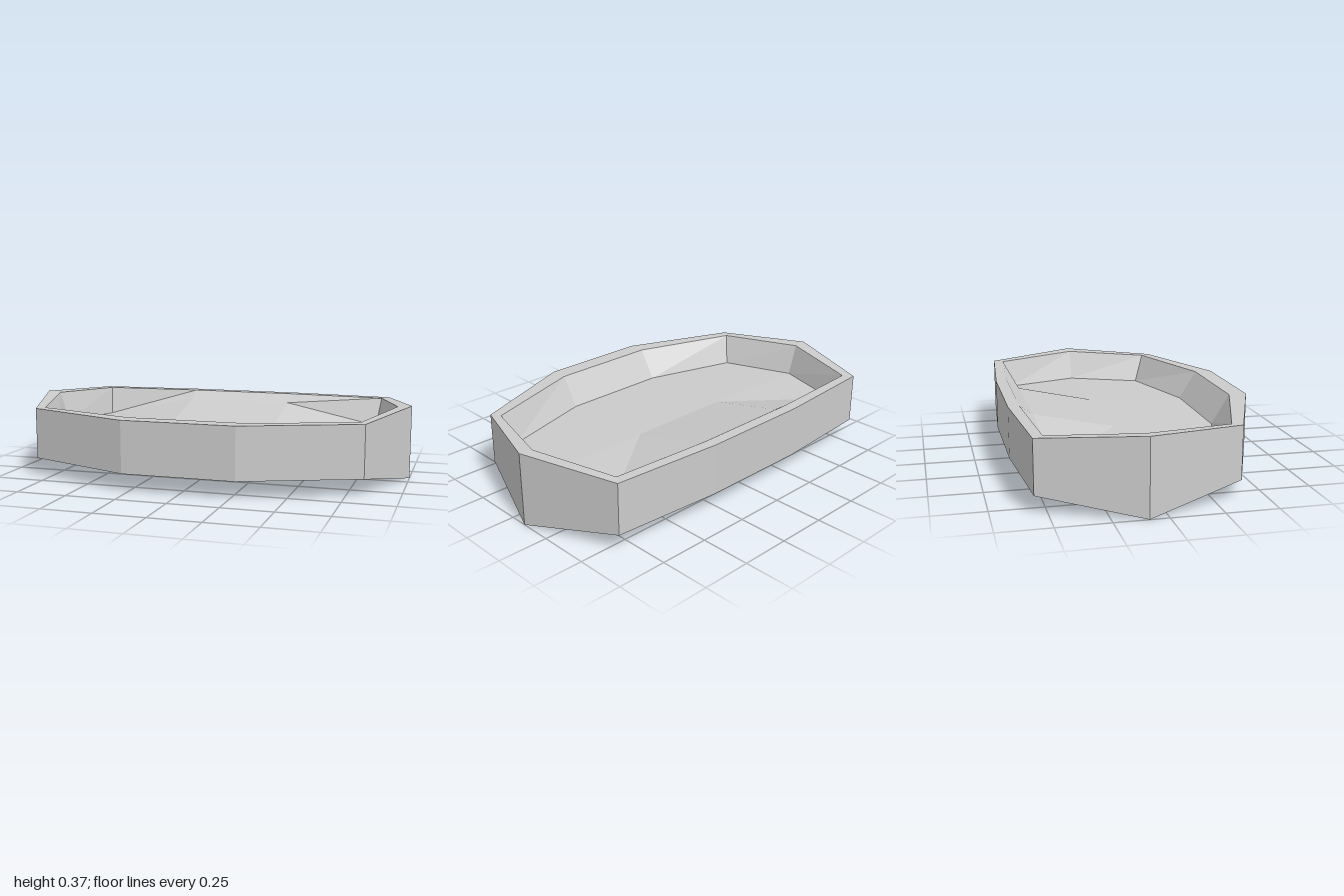
import * as THREE from 'three';

// Half outlines [x, y, z], front centre round the +x side to back centre
const rimOuter = [[0.28, 0.343, 0.6], [0.835, 0.343, 0.38], [1, 0.368, -0.09], [0.835, 0.343, -0.56], [0.28, 0.343, -0.602]];
const baseY = [0.086, 0.086, 0, 0.086, 0.086];
const baseOuter = rimOuter.map(([x, , z], i) => [x, baseY[i], z]);
const rimInner = [[0.28, 0.343, 0.51], [0.805, 0.343, 0.335], [0.93, 0.362, -0.09], [0.8, 0.343, -0.512], [0.28, 0.343, -0.545]];
const floorEdge = [[0.28, 0.197, 0.42], [0.76, 0.196, 0.285], [0.88, 0.205, -0.09], [0.78, 0.198, -0.46], [0.28, 0.3, -0.482]];

const flip = ([x, y, z]) => [-x, y, z];

// Closed ten-sided ring from a half outline, counter-clockwise from above
const ring = (half) => [...half, ...half.map(flip).reverse()];

// Quad split along its first and third corners
const quad = (a, b, c, d) => [a, b, c, a, c, d];

// Strip of quads between two rings
function band(lower, upper) {
  const a = ring(lower), b = ring(upper);
  return a.flatMap((p, i) => {
    const j = (i + 1) % a.length;
    return quad(p, a[j], b[j], b[i]);
  });
}

// Surface filling a ring: a centre strip plus mirrored side panels
function panel(half, midY, splitFromEnd) {
  const [p0, p1, p2, p3, p4] = half;
  const c = [0.28, midY, -0.09], m = flip(c);
  const side = splitFromEnd
    ? [...quad(p2, c, p0, p1), ...quad(p2, p3, p4, c)]
    : [...quad(c, p0, p1, p2), ...quad(c, p2, p3, p4)];
  return [
    ...quad(flip(p0), p0, c, m), ...quad(m, c, p4, flip(p4)),
    ...side, ...side.map(flip).reverse(),
  ];
}

export function createModel() {
  const group = new THREE.Group();
  group.name = 'tray';
  const material = new THREE.MeshStandardMaterial({ color: 0xcccccc, flatShading: true });

  const add = (name, points) => {
    const geometry = new THREE.BufferGeometry();
    geometry.setAttribute('position', new THREE.Float32BufferAttribute(points.flat(), 3));
    geometry.computeVertexNormals();
    const mesh = new THREE.Mesh(geometry, material);
    mesh.name = name;
    group.add(mesh);
  };

  add('outerWall', band(baseOuter, rimOuter));
  add('rim', band(rimOuter, rimInner));
  add('innerWall', band(rimInner, floorEdge));
  add('floor', panel(floorEdge, 0.215, false));
  // Underside is the same kind of panel facing down
  add('underside', panel(baseOuter, 0.03, true).reverse());

  return group;
}
